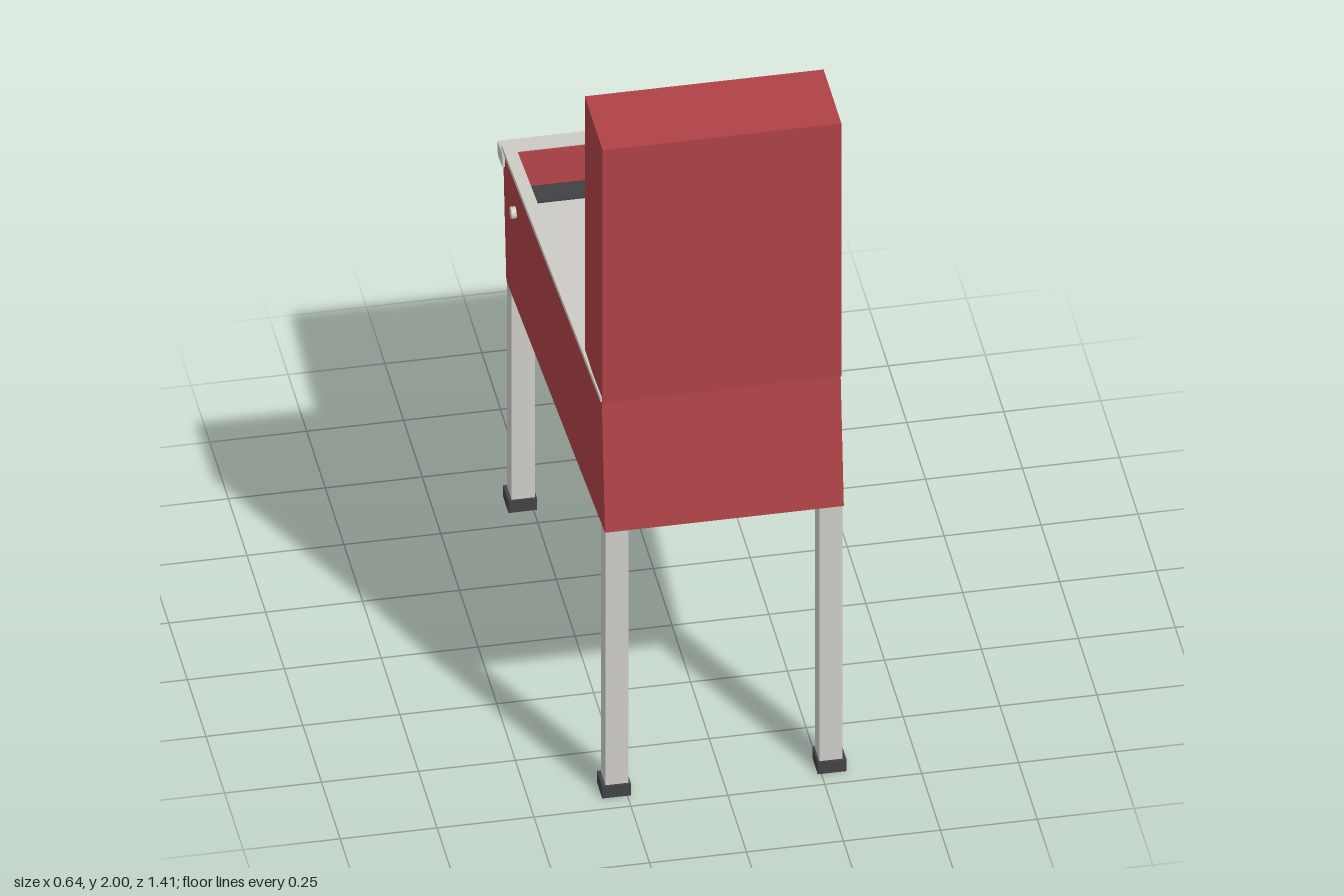
import * as THREE from 'three';

const material = (name, color) => {
  const m = new THREE.MeshStandardMaterial({ color });
  m.name = name;
  return m;
};

export function createModel() {
  const red = material('cabinet red', 0xb04247);
  const silver = material('pale metal', 0xd0cfca);
  const dark = material('dark grey', 0x434347);
  const blue = material('screen blue', 0x566aa4);

  const model = new THREE.Group();
  model.name = 'arcadeTable';

  const box = (parent, name, mat, size, pos) => {
    const mesh = new THREE.Mesh(new THREE.BoxGeometry(...size), mat);
    mesh.name = name;
    mesh.position.set(...pos);
    parent.add(mesh);
    return mesh;
  };

  // Sloping open cabinet
  const W = 0.616, H = 0.383, L = 1.333, T = 0.03;
  const cabinet = new THREE.Group();
  cabinet.name = 'cabinet';
  cabinet.position.set(0, 0.944, 0.02);
  cabinet.rotation.x = -0.1127;
  model.add(cabinet);

  for (const s of [-1, 1]) {
    box(cabinet, 'sideWall', red, [T, H, L], [s * (W - T) / 2, 0, 0]);
    box(cabinet, 'endWall', red, [W - 2 * T, H, T], [0, 0, s * (L - T) / 2]);
    box(cabinet, 'sideRail', silver, [0.033, 0.014, L + 0.005], [s * 0.2955, H / 2 + 0.006, 0]);

    // Round side button
    const button = new THREE.Mesh(new THREE.CylinderGeometry(0.016, 0.016, 0.03, 16), silver);
    button.name = 'sideButton';
    button.rotation.z = Math.PI / 2;
    button.position.set(s * 0.306, 0.094, -0.508);
    cabinet.add(button);
  }
  box(cabinet, 'floor', dark, [W - 0.016, 0.02, L - 0.016], [0, -H / 2 + 0.008, 0]);
  box(cabinet, 'playfield', silver, [W - 2 * T, 0.02, L - 2 * T], [0, 0.075, 0]);
  box(cabinet, 'apron', dark, [W - 2 * T, 0.008, 0.08], [0, 0.088, -L / 2 + T + 0.04]);
  box(cabinet, 'lockBar', silver, [0.63, 0.042, 0.064], [0, 0.173, -0.674]);

  // Upright box with its screen facing the playfield
  box(model, 'backBox', red, [W, 0.79, 0.238], [0, 1.605, 0.552]);
  box(model, 'screen', blue, [0.555, 0.5, 0.008], [0, 1.685, 0.43]);

  // Legs and feet
  for (const [z, top] of [[0.668, 0.84], [-0.591, 0.7]]) {
    for (const s of [-1, 1]) {
      box(model, 'leg', silver, [0.06, top - 0.02, 0.06], [s * 0.276, (top + 0.02) / 2, z]);
      box(model, 'foot', dark, [0.074, 0.036, 0.072], [s * 0.278, 0.018, z]);
    }
  }
  return model;
}
